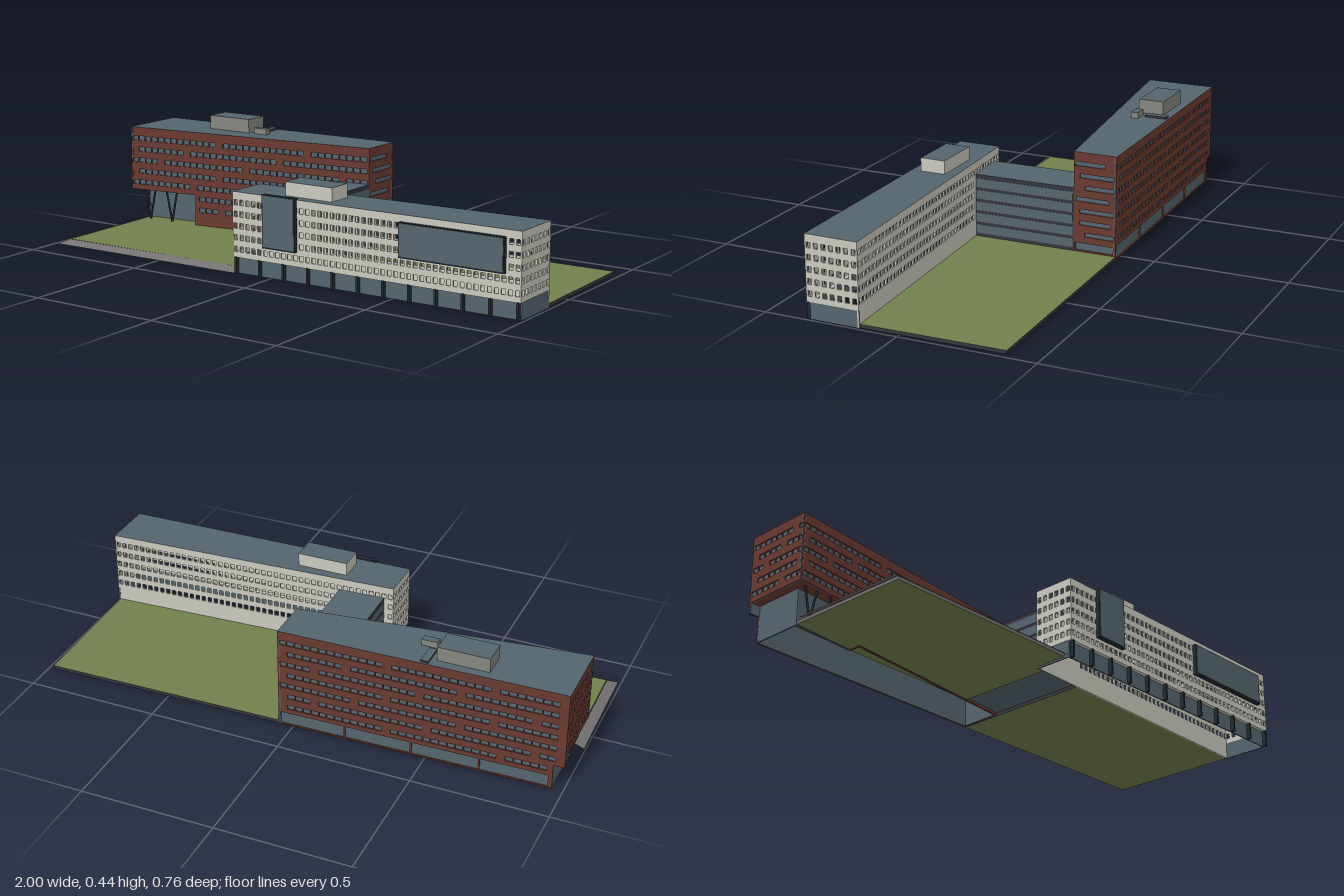
import * as THREE from 'three';

const mat = (name, color, side = THREE.DoubleSide) =>
  new THREE.MeshStandardMaterial({ name, color, side });

export function createModel() {
  const model = new THREE.Group();
  model.name = 'officeComplex';
  const brick = mat('brick red', 0x6a3a30);
  const pale = mat('pale concrete', 0xcacabf);
  const blue = mat('slate blue', 0x54656e);
  const dark = mat('dark metal', 0x36363d);
  const steel = mat('dark steel', 0x232b31);
  const grey = mat('grey concrete', 0x85877f);
  const kerbGrey = mat('kerb grey', 0x747270);
  const green = mat('lawn green', 0x727f4c);

  const toShape = (pts) => new THREE.Shape(pts.map(([x, y]) => new THREE.Vector2(x, y)));
  const add = (parent, name, geo, material) => {
    const m = new THREE.Mesh(geo, material);
    m.name = name;
    parent.add(m);
    return m;
  };
  // horizontal plate from an (x, z) outline
  const slab = (name, pts, top, depth, material) => {
    const geo = new THREE.ExtrudeGeometry(toShape(pts), { depth, bevelEnabled: false });
    geo.rotateX(Math.PI / 2);
    add(model, name, geo, material).position.y = top;
  };
  const rect = (x0, x1, y0, y1) => [[x0, y0], [x1, y0], [x1, y1], [x0, y1]];
  // frame along a wall line: local x runs from a to b, local z points outwards
  const frame = (name, a, b) => {
    const g = new THREE.Group();
    g.name = name;
    g.position.set(a[0], 0, a[1]);
    g.rotation.y = -Math.atan2(b[1] - a[1], b[0] - a[0]);
    g.userData.length = Math.hypot(b[0] - a[0], b[1] - a[1]);
    model.add(g);
    return g;
  };
  // upright plate with rectangular openings, outer face at local z
  const plate = (g, name, outline, material, z = 0, depth = 0.006, holes = []) => {
    const shape = toShape(outline);
    for (const h of holes) shape.holes.push(new THREE.Path(toShape(rect(...h)).getPoints()));
    const geo = new THREE.ExtrudeGeometry(shape, { depth, bevelEnabled: false });
    add(g, name, geo, material).position.z = z - depth;
  };
  const box = (g, name, x0, x1, y0, y1, z0, z1, material) =>
    add(g, name, new THREE.BoxGeometry(x1 - x0, y1 - y0, z1 - z0), material)
      .position.set((x0 + x1) / 2, (y0 + y1) / 2, (z0 + z1) / 2);

  // ---- lawns and sloping kerb ----
  slab('rightLawn', [[0.055, -0.37], [0.98, -0.385], [0.99, 0.142], [0.06, 0.187]], 0.016, 0.013, [green, dark]);
  slab('leftLawn', [[-0.957, -0.16], [-0.7, -0.17], [-0.12, -0.19], [-0.115, 0.197], [-0.152, 0.2],
    [-0.155, 0.327], [-0.95, 0.345]], 0.02, 0.012, [green, kerbGrey]);
  const inner = [[-0.96, -0.09], [-0.952, 0.343], [-0.155, 0.328]];
  const outer = [[-0.995, -0.085], [-0.988, 0.375], [-0.155, 0.357]];
  const kerb = [];
  for (let i = 0; i < 2; i++) {
    const p = (q, y) => [q[0], y, q[1]];
    const [a, b, c, d] = [p(inner[i], 0.02), p(outer[i], 0.002), p(outer[i + 1], 0.002), p(inner[i + 1], 0.02)];
    kerb.push(...a, ...b, ...c, ...a, ...c, ...d);
  }
  const kerbGeo = new THREE.BufferGeometry();
  kerbGeo.setAttribute('position', new THREE.Float32BufferAttribute(kerb, 3));
  kerbGeo.computeVertexNormals();
  add(model, 'kerb', kerbGeo, kerbGrey);

  // ---- brick block ----
  const H = 0.39, pitch = 0.0445;
  const B = [[-1, -0.08], [0.055, -0.205], [0.055, -0.37], [-1, -0.35]];
  // staggered window strips, cut into panes
  const strips = (length, from, rows, run, gap, shift) => {
    const holes = [];
    for (let r = 0; r < rows; r++) {
      const y = 0.348 - r * pitch, start = from(r);
      for (let x = start; x < length - 0.02; x += 0.03) {
        const inGap = ((x + r * shift) % (run + gap)) > run;
        if (!inGap) holes.push([x, Math.min(x + 0.0265, length - 0.004), y - 0.009, y + 0.009]);
      }
    }
    return holes;
  };
  const brickWall = (name, a, b, outline, holes) => {
    const g = frame(name, a, b);
    const o = outline(g.userData.length);
    plate(g, 'brickSkin', o, brick, 0, 0.005, holes(g.userData.length));
    plate(g, 'windowGlass', o, blue, -0.0055, 0.003);
  };
  brickWall('brickFront', B[0], B[1],
    (L) => [[0, 0.14], [0.297, 0.14], [0.297, 0.005], [L, 0.005], [L, H], [0, H]],
    (L) => strips(L, (r) => (r > 4 ? 0.315 : 0.006 + (r % 2) * 0.03), 7, 0.37, 0.03, 0.13));
  const endRows = [[0, 0.12], [0.02, 0.16], [0.04, 0.16], [0, 0.135], [0.02, 0.16], [0.02, 0.14], [0.04, 0.16]];
  brickWall('brickEndLeft', B[1], B[2], (L) => rect(0, L, 0.005, H),
    () => [...endRows.map(([s, e], r) => {
      const y = 0.348 - r * pitch;
      return [s + 0.003, e + 0.002, y - 0.008, y + 0.008];
    }), [0.003, 0.155, 0.021, 0.049]]);
  brickWall('brickBack', B[2], B[3],
    (L) => [[0, 0.003], [L - 0.04, 0.003], [L - 0.04, 0.1], [L, 0.1], [L, H], [0, H]],
    (L) => {
      const holes = strips(L - 0.01, (r) => 0.006 + (r % 2) * 0.03, 7, 0.37, 0.03, 0.13)
        .filter((h) => h[2] > 0.11 || h[1] < L - 0.05);
      for (let i = 0; i < 4; i++) holes.push([0.006 + i * 0.25, 0.25 + i * 0.25, 0.008, 0.055]);
      return holes;
    });
  brickWall('brickEndRight', B[3], B[0], (L) => rect(0, L, 0.14, H),
    (L) => strips(L, (r) => 0.006 + (r % 2) * 0.03, 5, 0.2, 0.03, 0.07));
  slab('brickRoof', B, H + 0.002, 0.006, [blue, brick]);

  // recessed glazed corner with V columns
  slab('cornerSoffit', [[-0.998, -0.348], [-0.703, -0.353], [-0.703, -0.117], [-0.998, -0.083]], 0.146, 0.006, brick);
  [['cornerGlassFront', [-0.96, -0.14], [-0.703, -0.165], blue],
    ['cornerGlassEnd', [-0.96, -0.345], [-0.96, -0.14], blue],
    ['cornerReturn', [-0.703, -0.165], [-0.703, -0.116], brick]].forEach(([n, a, b, m]) => {
    const g = frame(n, a, b);
    plate(g, n + 'Panel', rect(0, g.userData.length, 0.005, 0.14), m);
  });
  const strut = (name, p, q, r) => {
    const a = new THREE.Vector3(...p), d = new THREE.Vector3(...q).sub(a);
    const m = add(model, name, new THREE.CylinderGeometry(r, r, d.length(), 8), steel);
    m.position.copy(a).addScaledVector(d, 0.5);
    m.quaternion.setFromUnitVectors(new THREE.Vector3(0, 1, 0), d.normalize());
  };
  for (const x of [-0.93, -0.82]) {
    for (const s of [-0.026, 0.026]) strut('vColumn', [x, 0.02, -0.11], [x + s, 0.14, -0.11], 0.004);
  }

  // roof plant
  const plant = (name, x0, x1, z0, z1, y0, y1, m) =>
    slab(name, rect(x0, x1, z0, z1), y1, y1 - y0, [blue, m]);
  plant('brickRoofPlant', -0.71, -0.52, -0.322, -0.224, H, 0.445, grey);
  plant('smallRoofPlant', -0.495, -0.437, -0.252, -0.224, H, 0.415, grey);
  plant('roofHatch', -0.5, -0.472, -0.352, -0.268, H, 0.4, dark);
  plant('paleRoofPlant', 0.045, 0.242, 0.22, 0.316, 0.3, 0.352, pale);

  // ---- linking block with banded glazing ----
  const C = [[-0.117, 0.196], [0.06, 0.187], [0.055, -0.205], [-0.122, -0.185]];
  slab('linkBlock', C, 0.255, 0.24, [blue, dark]);
  [['linkLeftSide', C[1], C[2]], ['linkRightSide', C[3], C[0]]].forEach(([n, a, b]) => {
    const g = frame(n, a, b);
    for (let i = 0; i < 5; i++) {
      const y = 0.0285 + i * pitch;
      plate(g, 'glassBand', rect(0.003, g.userData.length - 0.003, y, y + 0.034), blue, 0.002, 0.004);
    }
  });

  // ---- pale block with punched windows ----
  const T = 0.3;
  const W = [[-0.155, 0.36], [0.995, 0.34], [0.995, 0.142], [-0.155, 0.197]];
  const grid = (L, keep = () => true) => {
    const holes = [], n = Math.floor(L / 0.0252), step = L / n;
    for (let c = 0; c < n; c++) for (let r = 0; r < 5; r++) {
      const x = (c + 0.5) * step, y = 0.0935 + r * 0.0425;
      if (keep(x, y)) holes.push([x - 0.008, x + 0.008, y - 0.01, y + 0.01]);
    }
    return holes;
  };
  const paleWall = (name, i, base, keep) => {
    const g = frame(name, W[i], W[(i + 1) % 4]);
    const L = g.userData.length;
    plate(g, 'paleSkin', rect(0, L, base, T), pale, 0, 0.006, grid(L, keep));
    return g;
  };
  const front = paleWall('paleFront', 0, 0.065);
  const end = paleWall('paleEndLeft', 1, 0.064);
  // no windows where the linking block meets the back
  paleWall('paleBack', 2, 0.003, (x, y) => y > 0.257 || x < 0.92 || x > 1.13);
  const end2 = paleWall('paleEndRight', 3, 0.064);
  slab('paleRoof', W, T + 0.002, 0.005, [blue, pale]);

  // glazed ground floor and slim columns
  const FL = front.userData.length;
  plate(front, 'groundGlass', rect(0.004, FL - 0.004, 0.002, 0.066), blue, -0.014, 0.005);
  box(front, 'soffit', 0, FL, 0.063, 0.067, -0.02, 0, pale);
  plate(end, 'groundGlassEnd', rect(0.012, end.userData.length, 0.002, 0.064), blue, -0.002, 0.005);
  plate(end2, 'groundGlassEnd', rect(0, end2.userData.length - 0.012, 0.002, 0.064), blue, -0.002, 0.005);
  for (let i = 0; i < 12; i++) {
    const x = 0.012 + i * 0.1025;
    if (x < FL) box(front, 'column', x - 0.004, x + 0.004, 0.001, 0.065, -0.012, 0.003, steel);
  }

  // projecting glass bays
  const bay = (name, x0, x1, y0, y1, out) => {
    box(front, name + 'Frame', x0, x1, y0, y1, -0.004, out, steel);
    plate(front, name + 'Glass', rect(x0 + 0.004, x1 - 0.004, y0 + 0.006, y1 - 0.003), blue, out + 0.002, 0.003);
  };
  bay('tallBay', 0.137, 0.276, 0.115, 0.308, 0.014);
  bay('wideBay', 0.695, 1.094, 0.156, 0.278, 0.015);

  return model;
}
